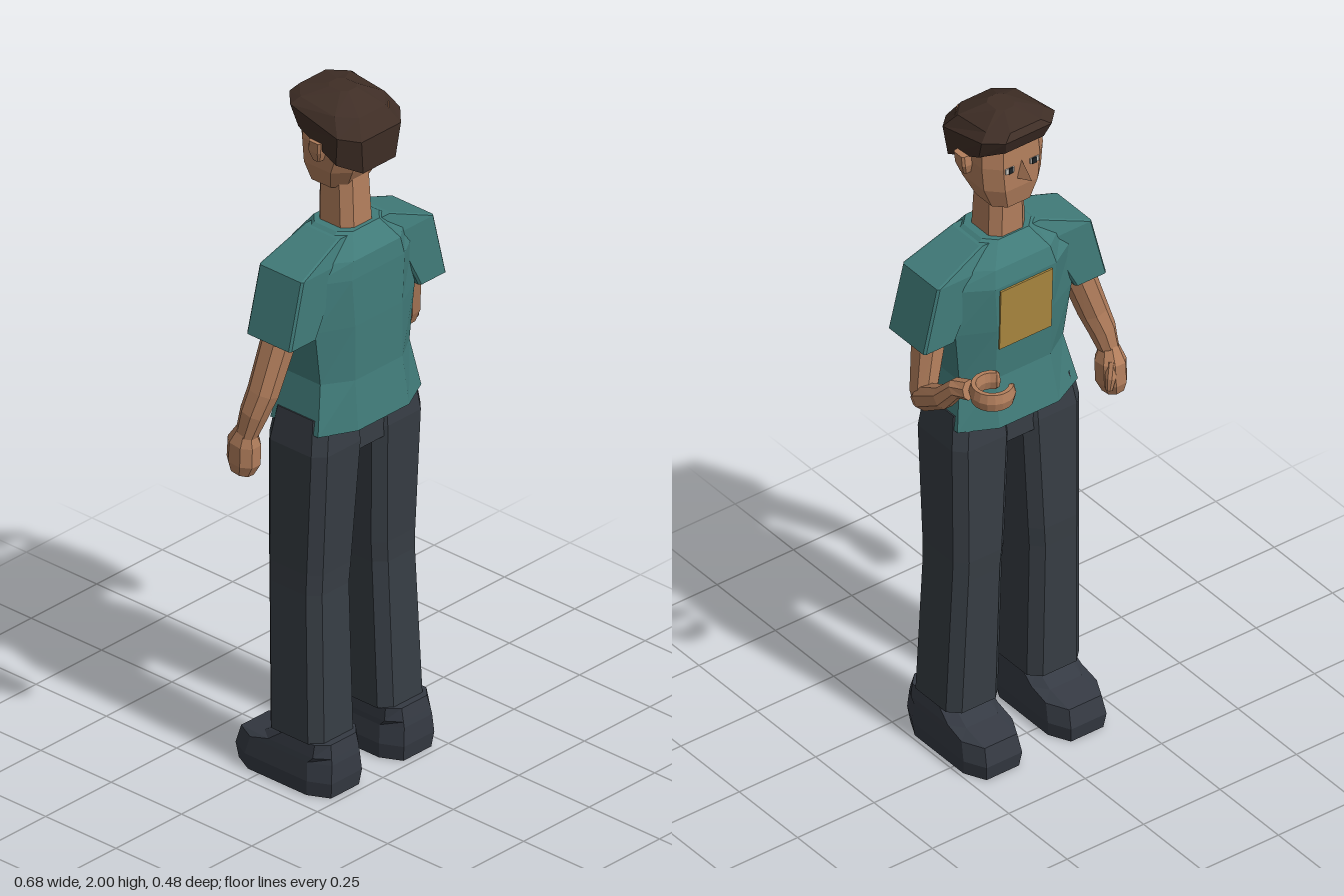
import * as THREE from 'three';

const CX = 0.017; // body centre line
const mat = (name, color) => {
  const m = new THREE.MeshStandardMaterial({ color, flatShading: true });
  m.name = name;
  return m;
};

// Skins a stack of equal-sized point rings and closes both ends
function loft(rings) {
  const pos = [], n = rings[0].length;
  const tri = (...pts) => pts.forEach(p => pos.push(p.x, p.y, p.z));
  const mid = r => r.reduce((s, p) => s.add(p), new THREE.Vector3()).divideScalar(n);
  const first = rings[0], last = rings[rings.length - 1];
  const a = mid(first), b = mid(last);
  for (let j = 0; j < n; j++) {
    const k = (j + 1) % n;
    for (let i = 0; i < rings.length - 1; i++) {
      const r = rings[i], s = rings[i + 1];
      tri(r[j], r[k], s[k]);
      tri(r[j], s[k], s[j]);
    }
    tri(a, first[k], first[j]);
    tri(b, last[j], last[k]);
  }
  const g = new THREE.BufferGeometry();
  g.setAttribute('position', new THREE.Float32BufferAttribute(pos, 3));
  g.computeVertexNormals();
  return g;
}

// Corners of a chamfered rectangle, counter-clockwise
const octagon = (w, d, cw, cd) => [
  [w, -d + cd], [w, d - cd], [w - cw, d], [-w + cw, d],
  [-w, d - cd], [-w, -d + cd], [-w + cw, -d], [w - cw, -d]];

// Level ring; y may be a rule of z
function ring(y, x, halfW, z0, z1, cw, cd = cw) {
  const cz = (z0 + z1) / 2;
  return octagon(halfW, (z1 - z0) / 2, cw, cd).map(([u, v]) => {
    const z = cz - v;
    return new THREE.Vector3(x + u, typeof y === 'function' ? y(z) : y, z);
  });
}

// Faceted limb along a path of [x, y, z, half width, half depth]
function limb(path) {
  const pts = path.map(p => new THREE.Vector3(p[0], p[1], p[2]));
  return loft(path.map(([, , , w, d], i) => {
    const t = pts[Math.min(i + 1, pts.length - 1)].clone().sub(pts[Math.max(i - 1, 0)]).normalize();
    const u = new THREE.Vector3(1, 0, 0).addScaledVector(t, -t.x).normalize();
    const v = t.clone().cross(u);
    return octagon(w, d, w * 0.55, d * 0.55).map(([a, b]) =>
      pts[i].clone().addScaledVector(u, a).addScaledVector(v, b));
  }));
}

export function createModel() {
  const group = new THREE.Group();
  const skin = mat('skin', 0xb27e5c), shirt = mat('shirt teal', 0x417c7a);
  const trousers = mat('trousers charcoal', 0x373d44), shoe = mat('shoe charcoal', 0x353a43);
  const hair = mat('hair brown', 0x3f2e26), ochre = mat('ochre', 0xa9873f);
  const dark = mat('eye dark', 0x1c2226), white = mat('eye white', 0xc9c6bf);
  const add = (name, geo, m, x = 0, y = 0, z = 0) => {
    const mesh = new THREE.Mesh(geo, m);
    mesh.name = name;
    mesh.position.set(x, y, z);
    group.add(mesh);
    return mesh;
  };

  // Torso and chest panel
  add('shirtBody', loft([
    ring(1.06, CX, 0.197, -0.033, 0.237, 0.1, 0.05),
    ring(1.2, CX, 0.17, -0.005, 0.22, 0.08, 0.05),
    ring(1.36, CX, 0.19, -0.015, 0.22, 0.1, 0.05),
    ring(1.5, CX, 0.2, -0.018, 0.218, 0.1, 0.06),
    ring(1.55, CX, 0.17, -0.005, 0.213, 0.08, 0.06),
    ring(1.61, CX, 0.08, 0.035, 0.175, 0.03)]), shirt);
  add('chestPanel', new THREE.BoxGeometry(0.17, 0.19, 0.009), ochre, CX, 1.395, -0.0155)
    .rotation.x = -0.034;
  add('pelvis', loft([
    ring(0.97, CX, 0.12, 0.005, 0.195, 0.02),
    ring(1.1, CX, 0.13, 0.01, 0.195, 0.02)]), trousers);

  for (const s of [-1, 1]) {
    const side = s > 0 ? 'left' : 'right', X = o => CX + s * o;
    add(side + 'Sleeve', loft([
      ring(1.352, X(0.248), 0.051, 0.025, 0.183, 0.006),
      ring(1.54, X(0.176), 0.076, 0.027, 0.183, 0.006),
      ring(1.603, X(0.07), 0.03, 0.045, 0.17, 0.006)]), shirt);
    add(side + 'Leg', loft([
      ring(0.15, X(0.1325), 0.085, 0.01, 0.2, 0.03),
      ring(0.58, X(0.126), 0.081, -0.004, 0.183, 0.03),
      ring(0.64, X(0.123), 0.083, -0.006, 0.185, 0.03),
      ring(1.0, X(0.115), 0.093, -0.004, 0.203, 0.03),
      ring(1.1, X(0.108), 0.085, 0.01, 0.195, 0.03)]), trousers);
    add(side + 'Shoe', loft([
      ring(0, X(0.138), 0.083, -0.1, 0.228, 0.03, 0.06),
      ring(0.045, X(0.138), 0.088, -0.107, 0.234, 0.03, 0.06),
      ring(0.098, X(0.138), 0.083, -0.092, 0.231, 0.03, 0.06),
      ring(0.115, X(0.137), 0.082, -0.01, 0.228, 0.03, 0.04),
      ring(0.152, X(0.135), 0.078, 0.05, 0.22, 0.03)]), shoe);
    add(side + 'Ear', loft([
      ring(1.82, X(0.105), 0.012, 0.09, 0.115, 0.005),
      ring(1.85, X(0.11), 0.017, 0.082, 0.125, 0.006),
      ring(1.88, X(0.11), 0.018, 0.085, 0.128, 0.006)]), skin);
    add(side + 'EyeWhite', new THREE.BoxGeometry(0.028, 0.016, 0.004), white, X(0.04), 1.852, -0.002);
    add(side + 'Pupil', new THREE.BoxGeometry(0.014, 0.018, 0.004), dark, X(0.038), 1.852, -0.004);
  }

  // Neck, head and nose
  add('neck', loft([
    ring(1.57, CX, 0.06, 0.04, 0.165, 0.025),
    ring(1.75, CX, 0.056, 0.04, 0.155, 0.025)]), skin);
  add('head', loft([
    ring(1.722, CX, 0.066, 0.012, 0.14, 0.03),
    ring(1.785, CX, 0.093, 0, 0.175, 0.04),
    ring(1.86, CX, 0.1, 0, 0.205, 0.04),
    ring(1.95, CX, 0.095, 0.005, 0.205, 0.04)]), skin);
  const noseTip = [0, 1, 2].map(() => new THREE.Vector3(CX, 1.825, -0.045));
  add('nose', loft([[[-0.016, 1.814], [0, 1.872], [0.016, 1.814]]
    .map(([x, y]) => new THREE.Vector3(CX + x, y, 0.004)), noseTip]), skin);

  // Hair cap, swept low at the back
  const HX = 0.013;
  add('hair', loft([
    ring(z => 1.92 - 0.5 * Math.max(0, z), HX, 0.112, -0.008, 0.225, 0.05),
    ring(z => 1.965 - 0.25 * Math.max(0, z), HX, 0.12, -0.025, 0.232, 0.045),
    ring(z => 1.982 - 0.12 * Math.max(0, z), HX, 0.095, -0.012, 0.2, 0.045),
    ring(1.998, HX, 0.03, 0.06, 0.13, 0.015)]), hair);

  // Hanging arm and hand
  add('rightArm', limb([
    [-0.215, 1.43, 0.1, 0.04, 0.045], [-0.235, 1.34, 0.098, 0.042, 0.044],
    [-0.28, 1.2, 0.085, 0.038, 0.04], [-0.298, 1.14, 0.07, 0.034, 0.036],
    [-0.31, 1.07, 0.052, 0.024, 0.028]]), skin);
  add('rightHand', limb([
    [-0.31, 1.09, 0.053, 0.022, 0.026], [-0.306, 1.05, 0.043, 0.037, 0.044],
    [-0.306, 0.99, 0.04, 0.037, 0.045], [-0.309, 0.958, 0.036, 0.026, 0.032]]), skin);
  add('rightThumb', limb([
    [-0.295, 1.06, 0.02, 0.014, 0.014], [-0.28, 1.02, 0.008, 0.014, 0.014],
    [-0.275, 0.985, 0.008, 0.009, 0.009]]), skin);

  // Bent arm with a curled, open grip
  add('leftUpperArm', limb([
    [0.25, 1.43, 0.09, 0.04, 0.046], [0.262, 1.34, 0.08, 0.04, 0.046],
    [0.293, 1.21, 0.06, 0.033, 0.036], [0.296, 1.17, 0.058, 0.022, 0.022]]), skin);
  add('leftForearm', limb([
    [0.296, 1.178, 0.075, 0.022, 0.022], [0.3, 1.2, 0.045, 0.033, 0.034],
    [0.312, 1.265, -0.055, 0.03, 0.03], [0.304, 1.318, -0.1, 0.026, 0.025],
    [0.295, 1.33, -0.14, 0.024, 0.026]]), skin);
  const arc = Math.PI * 1.55;
  const grip = new THREE.TorusGeometry(0.05, 0.012, 6, 14, arc);
  grip.rotateZ(-arc / 2).scale(1, 1, 2.5).rotateX(Math.PI / 2);
  const gripMesh = add('leftHand', grip, skin, 0.25, 1.33, -0.18);
  // Closed fingertips
  for (const s of [-1, 1]) {
    const a = s * arc / 2;
    const tip = new THREE.SphereGeometry(0.012, 6, 4).scale(1, 2.4, 1);
    add(s > 0 ? 'leftThumbTip' : 'leftFingerTip', tip, skin,
      gripMesh.position.x + 0.05 * Math.cos(a), 1.33, -0.18 + 0.05 * Math.sin(a));
  }
  return group;
}
